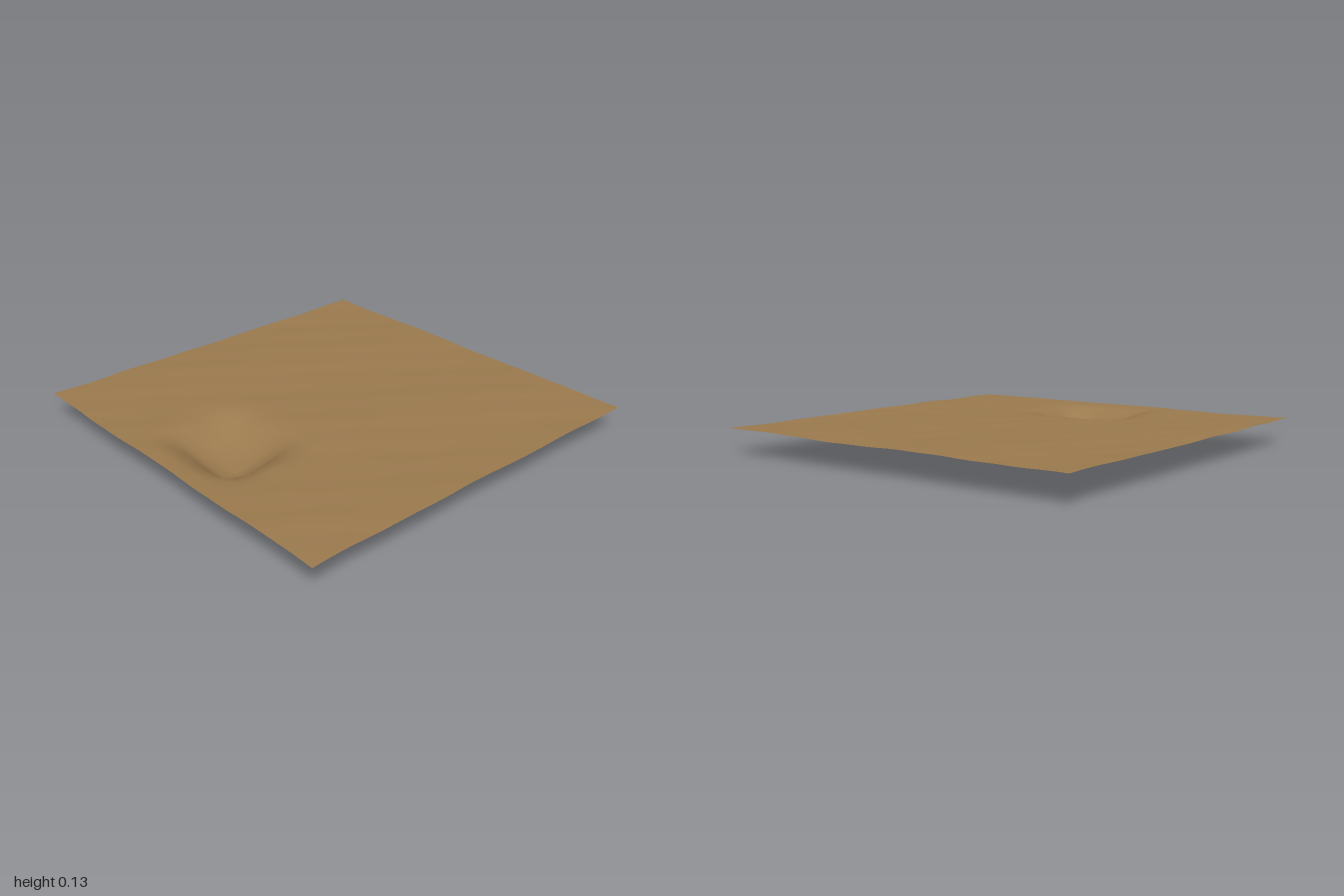
import * as THREE from 'three';

const SEGMENTS = 30;
const STEP = 2 / SEGMENTS;

// Depth of the pit across x and across z, one sample per grid step
const pitX = { start: -5 * STEP, depth: [0, 0.008, 0.057, 0.088, 0.107, 0.112, 0.124, 0.124, 0.069, 0.01, 0] };
const pitZ = { start: 5 * STEP, depth: [0, 0.014, 0.063, 0.098, 0.114, 0.122, 0.124, 0.078, 0.012, 0] };

function sample({ start, depth }, value) {
  const t = (value - start) / STEP;
  const i = Math.floor(t);
  if (i < 0 || i >= depth.length - 1) return 0;
  return THREE.MathUtils.lerp(depth[i], depth[i + 1], t - i);
}

// Ground height: gentle ripples with one rounded hollow near the front
function height(x, z) {
  const ripple = 0.0018 * Math.sin(7.3 * x + 3.1 * z) + 0.0014 * Math.sin(13.7 * z - 5.2 * x + 1)
    + 0.001 * Math.sin(23 * x + 17 * z + 2);
  const skewedX = x - 0.15 * (z - 0.68);
  const pit = sample(pitX, skewedX) * sample(pitZ, z) / 0.124;
  return 0.129 + ripple * (1 - pit / 0.124) - pit * 1.035;
}

export function createModel() {
  const group = new THREE.Group();
  group.name = 'groundPatch';

  const geometry = new THREE.PlaneGeometry(2, 2, SEGMENTS, SEGMENTS).rotateX(-Math.PI / 2);
  const position = geometry.attributes.position;
  for (let i = 0; i < position.count; i++) {
    const x = position.getX(i), z = position.getZ(i);
    // Slightly uneven outline
    const edgeX = 0.003 * (1 + Math.sin(9 * z + 1)) * x;
    const edgeZ = 0.003 * (1 + Math.sin(8 * x + 2)) * z;
    position.setXYZ(i, x - edgeX, Math.max(0, height(x, z)), z - edgeZ);
  }
  geometry.computeVertexNormals();

  const ground = new THREE.Mesh(geometry, new THREE.MeshStandardMaterial({ color: 0x9b7a4e, side: THREE.DoubleSide }));
  ground.name = 'groundWithPit';
  group.add(ground);
  return group;
}
